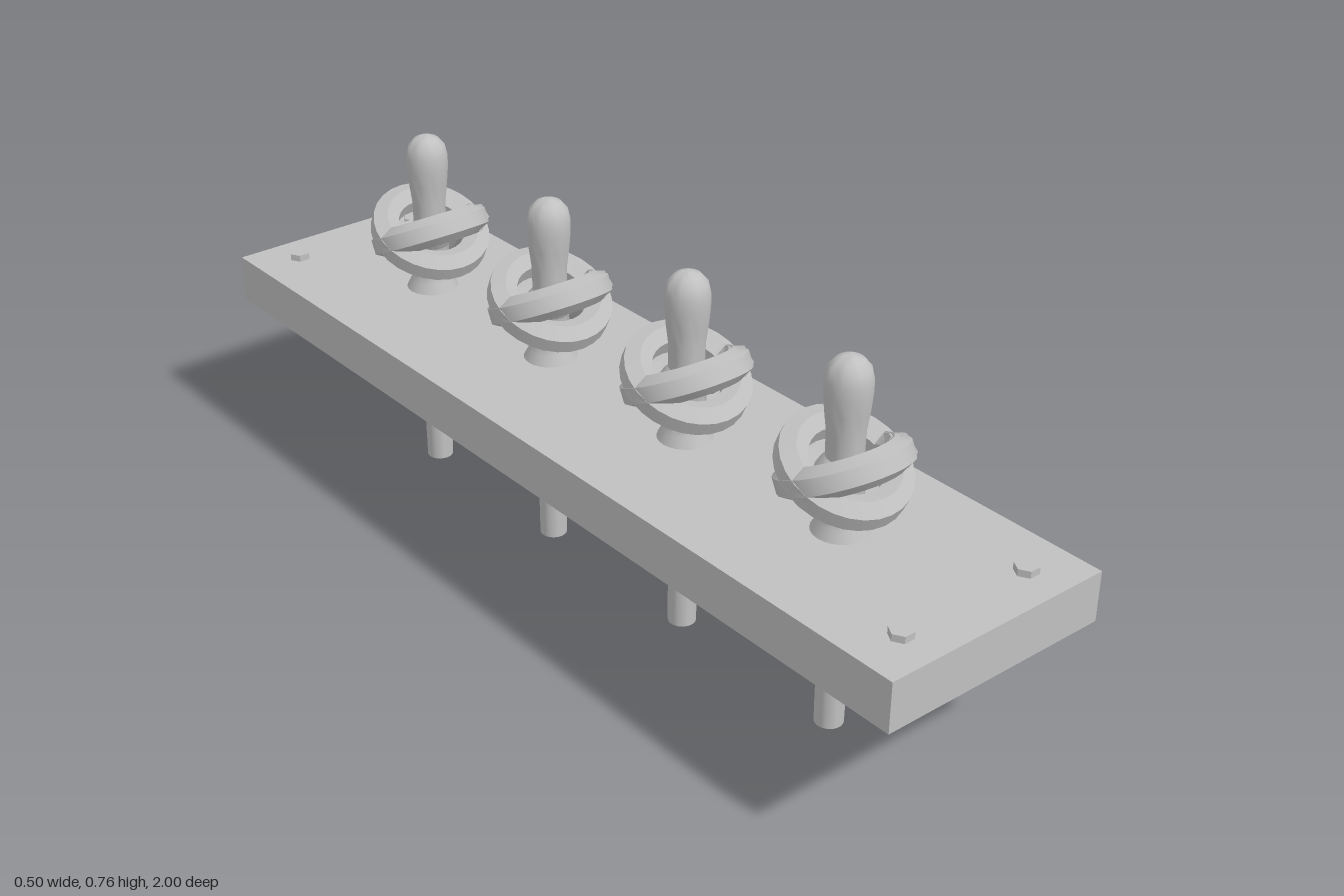
import * as THREE from 'three';
import { toCreasedNormals } from 'three/addons/utils/BufferGeometryUtils.js';

const V = (x, y, z) => new THREE.Vector3(x, y, z);

export function createModel() {
  const grey = new THREE.MeshStandardMaterial({ color: 0xc0c0c0 });
  const model = new THREE.Group();
  model.name = 'pinRail';

  const add = (parent, geometry, name, x = 0, y = 0, z = 0) => {
    const mesh = new THREE.Mesh(geometry, grey);
    mesh.name = name;
    mesh.position.set(x, y, z);
    parent.add(mesh);
    return mesh;
  };

  // Rail plank
  add(model, new THREE.BoxGeometry(0.5, 0.102, 2), 'rail', 0, 0.366, 0);

  // Hexagonal bolt heads at the four corners
  const boltShape = toCreasedNormals(new THREE.CylinderGeometry(0.023, 0.023, 0.022, 6), 0.5);
  for (const x of [-0.15, 0.15]) {
    for (const z of [-0.92, 0.92]) {
      add(model, boltShape, 'bolt', x, 0.42, z).rotation.y = Math.PI / 6;
    }
  }

  // Turned pin: shank, flared foot, hidden collar and rounded handle
  const pinProfile = [
    [0, 0], [0.028, 0], [0.031, 0.315], [0.031, 0.41], [0.056, 0.412], [0.054, 0.418],
    [0.044, 0.436], [0.039, 0.455], [0.038, 0.515], [0.05, 0.53], [0.052, 0.54],
    [0.045, 0.552], [0.034, 0.565], [0.035, 0.615], [0.04, 0.655], [0.043, 0.69],
    [0.043, 0.715], [0.038, 0.737], [0.025, 0.752], [0.012, 0.758], [0, 0.76],
  ].map(([r, y]) => new THREE.Vector2(r, y));
  const pinShape = toCreasedNormals(new THREE.LatheGeometry(pinProfile, 24), 0.7);

  // Six-sided rope section, flat side outward
  const ropeRadius = 0.031;
  const hexagon = (cx) => Array.from({ length: 7 }, (_, i) => {
    const a = -Math.PI / 6 + (i * Math.PI) / 3;
    return new THREE.Vector2(cx + ropeRadius * Math.cos(a), ropeRadius * Math.sin(a));
  });
  const loopShape = toCreasedNormals(new THREE.LatheGeometry(hexagon(0.098), 28), 0.5);

  // Loose rope end running down the left side to the back
  const tailPath = new THREE.CatmullRomCurve3([
    V(0.068, 0.575, 0.064), V(0.095, 0.557, 0.028), V(0.106, 0.523, -0.02),
    V(0.115, 0.468, -0.072), V(0.12, 0.452, -0.097), V(0.122, 0.443, -0.132),
  ]);
  const tailShape = toCreasedNormals(new THREE.ExtrudeGeometry(
    new THREE.Shape(hexagon(0).slice(0, 6)),
    { steps: 14, extrudePath: tailPath, bevelEnabled: false }), 0.5);

  // Four pins, each with two crossed rope loops and a tail
  for (const z of [0.625, 0.208, -0.208, -0.625]) {
    const station = new THREE.Group();
    station.name = 'pinWithRope';
    station.position.z = z;
    add(station, pinShape, 'pin');
    for (const side of [-1, 1]) {
      add(station, loopShape, 'ropeLoop', 0, 0.543, 0).rotation.x = side * 0.46;
    }
    add(station, tailShape, 'ropeTail');
    model.add(station);
  }
  return model;
}
